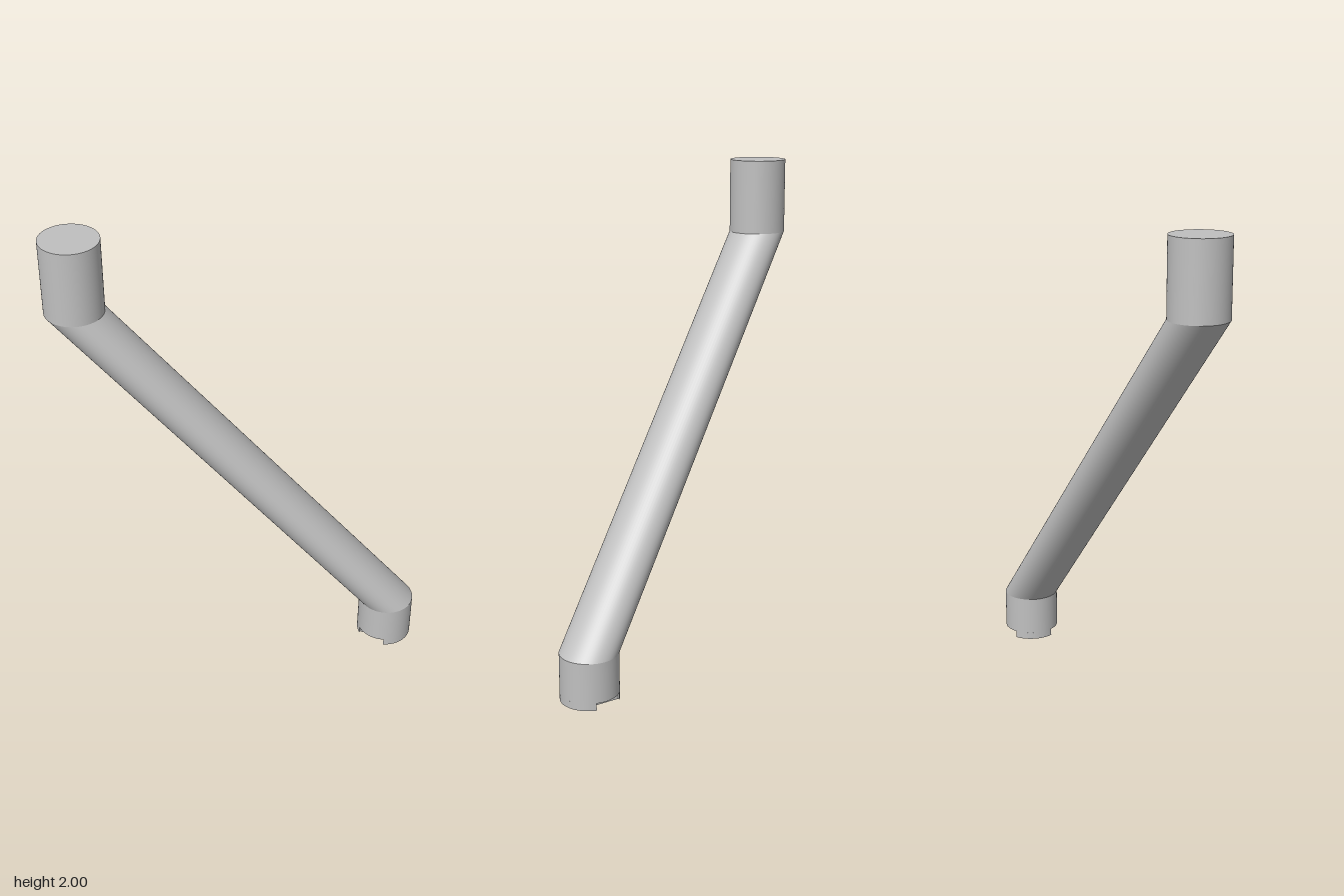
import * as THREE from 'three';
import { toCreasedNormals } from 'three/addons/utils/BufferGeometryUtils.js';

const R = 0.118;
const BOTTOM = { x: 0.587, z: -0.252 };
const TOP = { x: -0.59, z: 0.253 };
const NOTCH_HEIGHT = 0.03, LOWER_JOINT = 0.195, UPPER_JOINT = 1.692, HEIGHT = 2;

// Pipe span whose level circular ends sit over two points (a sheared cylinder)
function span(from, y0, to, y1, capped) {
  const h = y1 - y0;
  const g = new THREE.CylinderGeometry(R, R, h, 64, 1, !capped);
  g.translate(0, h / 2, 0);
  const sx = (to.x - from.x) / h, sz = (to.z - from.z) / h;
  g.applyMatrix4(new THREE.Matrix4().set(
    1, sx, 0, from.x,
    0, 1, 0, y0,
    0, sz, 1, from.z,
    0, 0, 0, 1));
  return g;
}

// Circular foot with a shallow straight notch cut into its front and back
function notchedFoot() {
  const xa = -0.086, xb = 0.036, depth = 0.072;
  const a = Math.acos(xa / R), b = Math.acos(xb / R);
  const shape = new THREE.Shape();
  shape.absarc(0, 0, R, -b, b, false);
  shape.lineTo(xb, depth);
  shape.lineTo(xa, depth);
  shape.absarc(0, 0, R, a, 2 * Math.PI - a, false);
  shape.lineTo(xa, -depth);
  shape.lineTo(xb, -depth);
  const g = new THREE.ExtrudeGeometry(shape, { depth: NOTCH_HEIGHT, bevelEnabled: false, curveSegments: 24 });
  g.rotateX(-Math.PI / 2);
  g.translate(BOTTOM.x, 0, BOTTOM.z);
  return toCreasedNormals(g, 0.5);
}

export function createModel() {
  const model = new THREE.Group();
  model.name = 'offsetPipe';
  const grey = new THREE.MeshStandardMaterial({ color: 0xc0c0c0 });
  grey.name = 'grey';

  const add = (name, geometry) => {
    const mesh = new THREE.Mesh(geometry, grey);
    mesh.name = name;
    model.add(mesh);
  };

  add('notchedFoot', notchedFoot());
  add('lowerStub', span(BOTTOM, NOTCH_HEIGHT, BOTTOM, LOWER_JOINT, true));
  add('slantedPipe', span(BOTTOM, LOWER_JOINT, TOP, UPPER_JOINT, false));
  add('upperStub', span(TOP, UPPER_JOINT, TOP, HEIGHT, true));
  return model;
}
